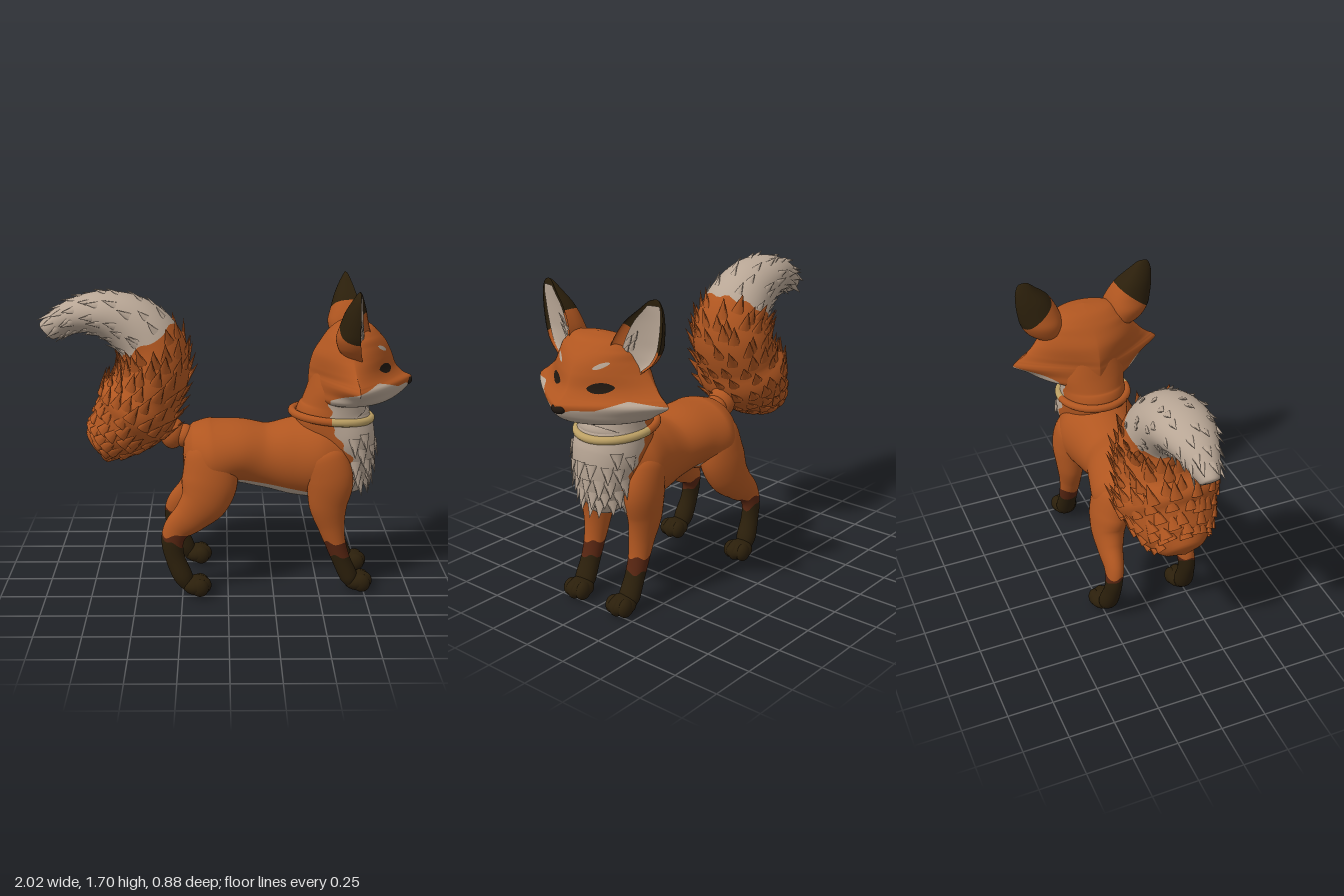
import * as THREE from 'three';
import { mergeGeometries } from 'three/addons/utils/BufferGeometryUtils.js';

const V = (x, y, z) => new THREE.Vector3(x, y, z);
const paintOf = (name, color) => Object.assign(new THREE.MeshStandardMaterial({ color }), { name });

// Piecewise linear lookup in [[x, y], ...]
function lookup(tab, x) {
  for (let i = 1; i < tab.length; i++) {
    const [x0, y0] = tab[i - 1], [x1, y1] = tab[i];
    if (x <= x1) return y0 + (y1 - y0) * Math.max(0, (x - x0) / (x1 - x0));
  }
  return tab[tab.length - 1][1];
}

// Surface from fn(u, v); closed surfaces wrap in v and are turned outward
function grid(fn, rows, cols, closed = true) {
  const pos = [], idx = [], w = closed ? cols : cols + 1;
  for (let i = 0; i <= rows; i++)
    for (let j = 0; j < w; j++) pos.push(...fn(i / rows, j / cols).toArray());
  for (let i = 0; i < rows; i++)
    for (let j = 0; j < cols; j++) {
      const a = i * w + j, b = i * w + ((j + 1) % w);
      idx.push(a, b, a + w, b, b + w, a + w);
    }
  let vol = 0;
  const at = (k) => V(pos[3 * k], pos[3 * k + 1], pos[3 * k + 2]);
  const mid = at(Math.floor(rows / 2) * w);
  for (let k = 0; k < idx.length; k += 3)
    vol += at(idx[k]).sub(mid).dot(at(idx[k + 1]).sub(mid).cross(at(idx[k + 2]).sub(mid)));
  if (closed && vol < 0) idx.reverse();
  const g = new THREE.BufferGeometry();
  g.setAttribute('position', new THREE.Float32BufferAttribute(pos, 3));
  g.setIndex(idx);
  g.computeVertexNormals();
  return g;
}

// Smooth tube through sections [x, y, z, halfWidthZ, halfDepth]
function loft(secs, rows, cols) {
  const path = new THREE.CatmullRomCurve3(secs.map((s) => V(s[0], s[1], s[2])));
  const size = new THREE.CatmullRomCurve3(secs.map((s) => V(s[3], s[4], 0)));
  const sample = (u, v) => {
    const c = path.getPoint(u), r = size.getPoint(u), t = path.getTangent(u);
    const side = V(0, 0, 1).addScaledVector(t, -t.z).normalize();
    const up = side.clone().cross(t), a = v * Math.PI * 2;
    const p = c.addScaledVector(side, Math.cos(a) * Math.max(r.x, 0)).addScaledVector(up, Math.sin(a) * Math.max(r.y, 0));
    return { p, t, n: side.multiplyScalar(Math.cos(a)).addScaledVector(up, Math.sin(a)) };
  };
  return { sample, geo: grid((u, v) => sample(u, v).p, rows, cols) };
}

// Cut a geometry along field(x, y, z) = 0 into [inside, outside]
function split(geo, field) {
  const g = geo.index ? geo.toNonIndexed() : geo, P = g.attributes.position, N = g.attributes.normal;
  const out = [{ p: [], n: [] }, { p: [], n: [] }];
  for (let i = 0; i < P.count; i += 3) {
    const tri = [0, 1, 2].map((k) => {
      const p = V().fromBufferAttribute(P, i + k);
      return { p, n: V().fromBufferAttribute(N, i + k), f: field(p.x, p.y, p.z) };
    });
    out.forEach((o, s) => {
      const poly = [];
      tri.forEach((a, k) => {
        const b = tri[(k + 1) % 3];
        if (s ? a.f <= 0 : a.f >= 0) poly.push(a);
        if (a.f * b.f < 0) {
          const t = a.f / (a.f - b.f);
          poly.push({ p: a.p.clone().lerp(b.p, t), n: a.n.clone().lerp(b.n, t) });
        }
      });
      for (let k = 2; k < poly.length; k++)
        for (const q of [poly[0], poly[k - 1], poly[k]]) { o.p.push(...q.p.toArray()); o.n.push(...q.n.toArray()); }
    });
  }
  return out.map((o) => new THREE.BufferGeometry()
    .setAttribute('position', new THREE.Float32BufferAttribute(o.p, 3))
    .setAttribute('normal', new THREE.Float32BufferAttribute(o.n, 3)));
}

export function createModel() {
  const fox = new THREE.Group();
  fox.name = 'fox';
  const orange = paintOf('orange fur', 0xb05620), white = paintOf('pale fur', 0xb8a695);
  const dark = paintOf('dark fur', 0x2b1f0b), rust = paintOf('rust fur', 0x572511);
  const gold = paintOf('collar gold', 0xbca064), black = paintOf('black', 0x1f1710);
  white.side = THREE.DoubleSide;
  const add = (name, geo, mat) => {
    const m = new THREE.Mesh(geo, mat);
    m.name = name;
    fox.add(m);
    return m;
  };
  // Layers are [label, material, field]; what remains takes the base material
  const addPainted = (name, geo, base, layers) => {
    for (const [label, mat, field] of layers) {
      const [inside, rest] = split(geo, field);
      if (inside.attributes.position.count) add(name + label, inside, mat);
      geo = rest;
    }
    add(name, geo, base);
  };
  const ball = (name, mat, x, y, z, rx, ry, rz) => {
    const m = add(name, new THREE.SphereGeometry(1, 24, 16), mat);
    m.position.set(x, y, z);
    m.scale.set(rx, ry, rz);
  };
  let seed = 7;
  const rnd = () => (seed = (seed * 16807) % 2147483647) / 2147483647;
  // Flat tuft of fur lying along dir on a surface with normal n
  const spike = (p, dir, n, r, len) => {
    const y = dir.clone().normalize(), x = y.clone().cross(n).normalize();
    const g = new THREE.ConeGeometry(r, len, 8, 1, true).translate(0, len * 0.3, 0).scale(1, 1, 0.4);
    return g.applyMatrix4(new THREE.Matrix4().makeBasis(x, y, x.clone().cross(y)).setPosition(p));
  };

  // Torso with pale belly
  const torso = loft([[-0.25, 0.74, 0, 0, 0], [-0.24, 0.74, 0, 0.12, 0.125], [-0.19, 0.74, 0, 0.2, 0.178],
    [-0.08, 0.745, 0, 0.25, 0.198], [0.05, 0.765, 0, 0.225, 0.175], [0.2, 0.74, 0, 0.19, 0.178], [0.35, 0.735, 0, 0.205, 0.215],
    [0.5, 0.74, 0, 0.235, 0.232], [0.62, 0.75, 0, 0.2, 0.21], [0.7, 0.76, 0, 0.11, 0.14], [0.73, 0.76, 0, 0, 0]], 70, 64);
  addPainted('torso', torso.geo, orange, [['Belly', white, (x, y) => Math.min(x - 0.04, 0.645 - 0.2 * (x - 0.05) - y)]]);

  // Neck and chest with pale bib
  const chest = loft([[0.63, 0.5, 0, 0, 0], [0.64, 0.56, 0, 0.09, 0.1], [0.65, 0.64, 0, 0.14, 0.13], [0.655, 0.74, 0, 0.172, 0.152],
    [0.63, 0.85, 0, 0.195, 0.18], [0.572, 0.96, 0, 0.188, 0.205], [0.575, 1.04, 0, 0.185, 0.175],
    [0.58, 1.12, 0, 0.19, 0.15], [0.59, 1.22, 0, 0.17, 0.13]], 70, 72);
  const bibEdge = [[0.5, 0.5], [0.58, 0.62], [0.68, 0.69], [0.76, 0.67], [0.85, 0.61], [0.95, 0.55], [1.2, 0.53]];
  const bib = (x, y) => x - lookup(bibEdge, y) - 0.012 * Math.sin(y * 75);
  addPainted('chest', chest.geo, orange, [['Bib', white, bib]]);
  const tufts = [];
  for (let i = 0; i < 5; i++)
    for (let j = 0; j < 7; j++) {
      const s = chest.sample(0.22 + i * 0.068, 0.75 + (j - 3 + (i % 2) * 0.5) * 0.072 + (rnd() - 0.5) * 0.03);
      if (bib(s.p.x, s.p.y) > 0.005 && s.p.y < 0.89)
        tufts.push(spike(s.p, s.n.clone().multiplyScalar(0.22).add(V(0, -1, 0)), s.n, 0.034, 0.08 + rnd() * 0.03));
    }
  add('chestTufts', mergeGeometries(tufts), white);

  // Collar, gold in front
  const ring = [];
  for (let i = 0; i < 24; i++) {
    const a = (i / 24) * Math.PI * 2;
    ring.push(V(0.565 + 0.216 * Math.cos(a), 0.974 - 0.018 * Math.cos(a), 0.195 * Math.sin(a)));
  }
  addPainted('collar', new THREE.TubeGeometry(new THREE.CatmullRomCurve3(ring, true), 96, 0.022, 12, true), orange,
    [['Front', gold, (x) => x - 0.55]]);

  // Head: rows of y, back x, front x, cheek x, half width, pointedness
  const rows = [[1.035, 0.6, 0.66, 0.62, 0, 1], [1.045, 0.5, 0.78, 0.62, 0.13, 1], [1.065, 0.47, 0.86, 0.64, 0.22, 1.1],
    [1.09, 0.45, 0.92, 0.66, 0.3, 1.3], [1.13, 0.437, 0.975, 0.67, 0.365, 1.6], [1.185, 0.435, 0.995, 0.67, 0.438, 1.8],
    [1.21, 0.437, 0.95, 0.67, 0.415, 1.8], [1.25, 0.44, 0.91, 0.66, 0.36, 1.65], [1.32, 0.46, 0.882, 0.65, 0.295, 1.35],
    [1.38, 0.5, 0.852, 0.65, 0.25, 1.15], [1.43, 0.54, 0.81, 0.66, 0.21, 1], [1.47, 0.59, 0.765, 0.67, 0.16, 1], [1.49, 0.68, 0.68, 0.68, 0, 1]];
  const headA = new THREE.CatmullRomCurve3(rows.map((r) => V(r[0], r[1], r[2])));
  const headB = new THREE.CatmullRomCurve3(rows.map((r) => V(r[3], r[4], r[5])));
  const head = grid((u, v) => {
    const A = headA.getPoint(u), B = headB.getPoint(u), c = Math.cos(v * Math.PI * 2), s = Math.sin(v * Math.PI * 2);
    const pw = (k) => Math.sign(k) * Math.abs(k) ** B.z;
    return V(B.x + (c > 0 ? A.z - B.x : B.x - A.y) * pw(c), A.x, Math.max(B.y, 0) * pw(s));
  }, 96, 144);
  const muzzleEdge = [[0, 1.14], [0.07, 1.165], [0.16, 1.165], [0.28, 1.21], [0.38, 1.195], [0.5, 1.175]];
  const spot = (cz, cy, rz, ry, tilt) => (x, y, z) => {
    const dz = Math.abs(z) - cz, dy = y - cy - tilt * dz;
    return x < 0.7 ? -1 : 1 - (dz / rz) ** 2 - Math.abs(dy / ry) ** 1.4;
  };
  addPainted('head', head, orange, [
    ['Muzzle', white, (x, y, z) => Math.min(lookup(muzzleEdge, Math.abs(z)) - y, x - 0.54 - Math.max(0, y - 1.1) * 1.5)],
    ['Eyes', black, spot(0.147, 1.262, 0.06, 0.026, 0.05)],
    ['Brows', white, spot(0.135, 1.366, 0.036, 0.013, 0.4)]]);
  ball('nose', black, 0.972, 1.165, 0, 0.028, 0.026, 0.042);

  // Ears: rows of y, inner z, outer z, front x, back x
  const earRows = [[1.24, 0.14, 0.22, 0.72, 0.66], [1.31, 0.12, 0.265, 0.745, 0.62], [1.38, 0.125, 0.345, 0.755, 0.565], [1.44, 0.135, 0.378, 0.75, 0.55],
    [1.5, 0.155, 0.392, 0.735, 0.565], [1.58, 0.205, 0.4, 0.715, 0.59], [1.65, 0.28, 0.397, 0.69, 0.625],
    [1.69, 0.325, 0.38, 0.672, 0.65], [1.7, 0.36, 0.36, 0.66, 0.66]];
  const earA = new THREE.CatmullRomCurve3(earRows.map((r) => V(r[0], r[1], r[2])));
  const earB = new THREE.CatmullRomCurve3(earRows.map((r) => V(r[3], r[4], 0)));
  const earPoint = (u, k, bulge, lift, s, skew = 1) => {
    const A = earA.getPoint(u), B = earB.getPoint(u), f = (1 - Math.cos(Math.PI * k)) / 2;
    const depth = Math.max(0, B.x - B.y);
    return V(B.x - 0.4 * depth * f - bulge * depth * Math.sin(Math.PI * k ** skew) + lift, A.x, s * (A.y + (A.z - A.y) * f));
  };
  for (const s of [1, -1]) {
    const side = s > 0 ? 'left' : 'right';
    const shell = grid((u, v) => (v < 0.5 ? earPoint(u, v * 2, 0.82, 0, s, 0.7) : earPoint(u, 2 - v * 2, 0.2, 0, s)), 40, 40);
    addPainted(side + 'Ear', shell, orange, [['Tip', dark, (x, y, z) => y - 1.42 - (0.38 - Math.abs(z)) * 0.8]]);
    add(side + 'EarInside', grid((u, v) => earPoint(0.14 + u * 0.66, 0.29 + v * 0.52, 0.2, 0.007, s), 24, 12, false), white);
    const fluff = [];
    for (let i = 0; i < 4; i++)
      fluff.push(spike(earPoint(0.34 + 0.05 * i, 0.34 + 0.06 * (i % 2), 0.2, 0.004, s), V(0.12, 1, s * 0.7), V(1, 0, s * 0.3), 0.02, 0.07));
    add(side + 'EarFluff', mergeGeometries(fluff), white);
  }

  // Legs and paws
  const frontLeg = [[0.5, 0.82, 0.12, 0.04, 0.06], [0.52, 0.76, 0.15, 0.09, 0.12], [0.55, 0.65, 0.165, 0.092, 0.128],
    [0.545, 0.5, 0.165, 0.078, 0.105], [0.565, 0.38, 0.16, 0.064, 0.075], [0.59, 0.28, 0.16, 0.057, 0.057],
    [0.625, 0.18, 0.16, 0.055, 0.05], [0.665, 0.09, 0.16, 0.06, 0.05], [0.69, 0.03, 0.16, 0.04, 0.03]];
  const hindLeg = [[-0.1, 0.86, 0.08, 0.05, 0.06], [-0.1, 0.77, 0.13, 0.1, 0.135], [-0.1, 0.64, 0.165, 0.102, 0.152],
    [-0.13, 0.54, 0.185, 0.092, 0.135], [-0.2, 0.455, 0.2, 0.07, 0.1], [-0.28, 0.38, 0.21, 0.053, 0.074],
    [-0.303, 0.31, 0.22, 0.047, 0.06], [-0.29, 0.22, 0.225, 0.047, 0.053], [-0.25, 0.12, 0.232, 0.055, 0.053], [-0.21, 0.05, 0.235, 0.04, 0.035]];
  for (const s of [1, -1])
    for (const [kind, secs, sock, cuff, slope, px, pz] of [['Front', frontLeg, 0.215, 0.295, 0, 0.72, 0.152], ['Hind', hindLeg, 0.31, 0.352, 0.55, -0.172, 0.238]]) {
      const name = (s > 0 ? 'left' : 'right') + kind;
      const leg = loft(secs.map(([x, y, z, a, b]) => [x, y, z * s, a, b]), 56, 32);
      const wave = (x, z) => 0.01 * Math.sin(x * 60 + z * 50);
      addPainted(name + 'Leg', leg.geo, orange, [['Sock', dark, (x, y, z) => sock - slope * (x + 0.3) + wave(x, z) - y],
        ['Cuff', rust, (x, y, z) => cuff + wave(z, x) - y]]);
      const lift = kind === 'Hind' ? 0.01 : 0;
      ball(name + 'Paw', dark, px, 0.054 + lift, s * pz, 0.078, 0.054, 0.076);
      for (const k of [-1, 0, 1]) ball(name + 'Toe', dark, px + 0.032 - 0.014 * k * k, 0.052 + lift, s * pz + k * 0.042, 0.048, 0.05, 0.036);
    }

  // Tail root, brush and pale tip
  ball('tailRoot', orange, -0.305, 0.865, 0, 0.07, 0.088, 0.08);
  ball('tailJoint', orange, -0.24, 0.85, 0, 0.06, 0.065, 0.075);
  const tail = loft([[-0.745, 0.79, 0, 0, 0], [-0.725, 0.805, 0, 0.1, 0.09], [-0.655, 0.85, 0, 0.19, 0.145], [-0.54, 0.955, 0, 0.25, 0.2],
    [-0.445, 1.1, 0, 0.25, 0.2], [-0.395, 1.25, 0, 0.235, 0.19], [-0.42, 1.37, 0, 0.2, 0.175], [-0.52, 1.47, 0, 0.175, 0.158],
    [-0.68, 1.53, 0, 0.155, 0.12], [-0.83, 1.515, 0, 0.11, 0.088], [-0.94, 1.455, 0, 0.065, 0.066], [-0.975, 1.43, 0, 0.045, 0.054], [-0.98, 1.425, 0, 0, 0]], 90, 48);
  const tipField = (x, y, z) => y - 1.285 - 0.64 * (x + 0.6) - 0.015 * Math.sin(z * 50 + x * 30);
  addPainted('tail', tail.geo, orange, [['Tip', white, tipField]]);
  const brush = [[], []];
  for (let i = 0; i < 20; i++)
    for (let j = 0; j < 16; j++) {
      const u = 0.12 + (i + rnd() * 0.9) * 0.0355, s = tail.sample(u, (j + (i % 2) * 0.5 + rnd() * 0.5) / 16);
      const f = tipField(s.p.x, s.p.y, s.p.z), pale = f > 0 ? 1 : 0;
      if ((pale && j % 2) || (f < 0 && f > -0.035)) continue;
      const dir = s.t.clone().addScaledVector(s.n, pale ? 0.2 : 0.38);
      brush[pale].push(spike(s.p, dir, s.n, pale ? 0.022 : 0.036, (pale ? 0.06 : 0.095) + rnd() * 0.03));
    }
  add('tailFur', mergeGeometries(brush[0]), orange);
  add('tailTipFur', mergeGeometries(brush[1]), white);
  return fox;
}
